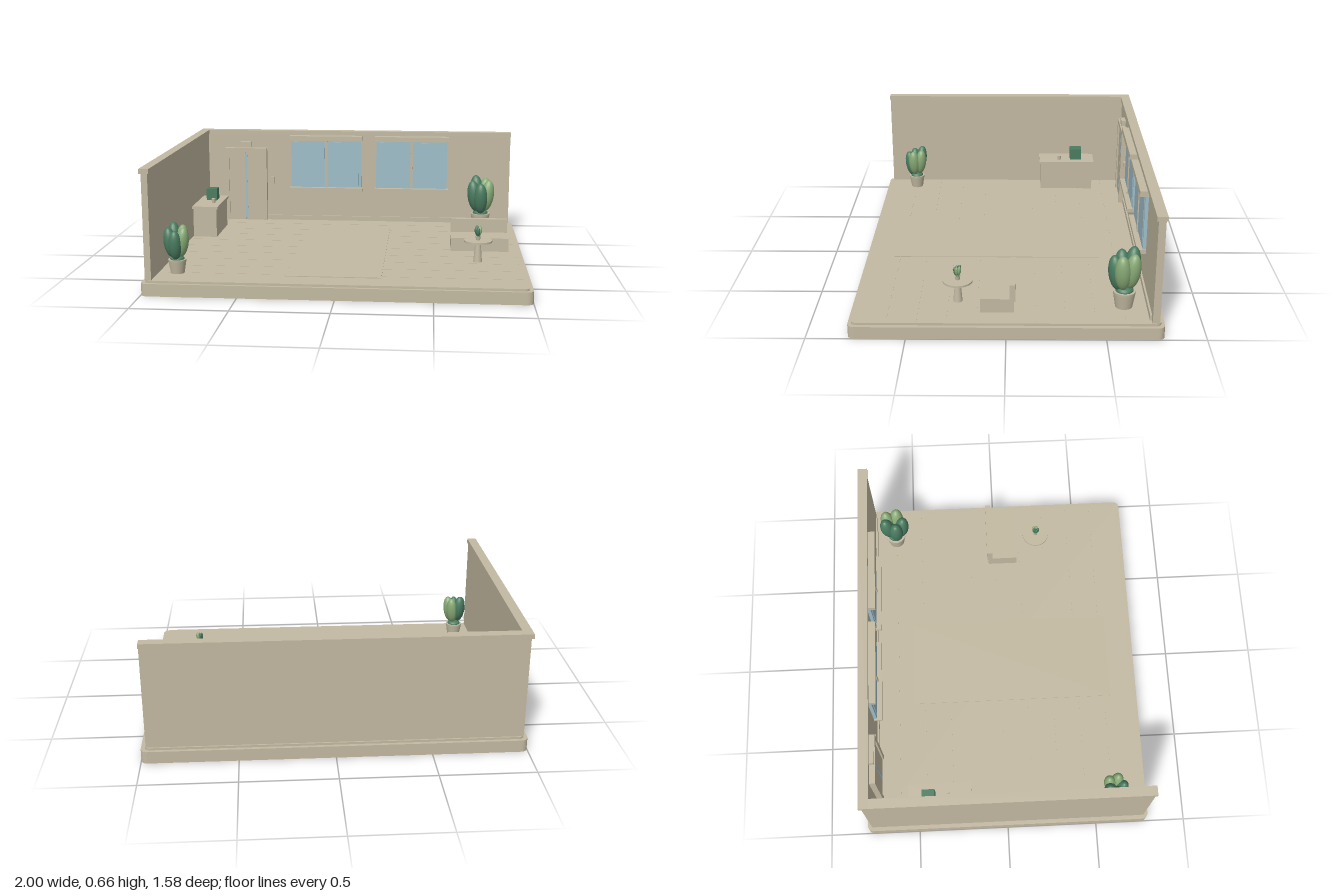
import * as THREE from 'three';

const material = (name, color) => {
  const m = new THREE.MeshStandardMaterial({ color });
  m.name = name;
  return m;
};

export function createModel() {
  const root = new THREE.Group();
  root.name = 'room';
  const beige = material('warm beige', 0xc2b9a1);
  const glass = material('window blue', 0x9ebdc8);
  const darkGreen = material('deep green', 0x4a7c60);
  const lightGreen = material('leaf green', 0x88aa76);

  const add = (name, geometry, mat, x = 0, y = 0, z = 0, parent = root) => {
    const mesh = new THREE.Mesh(geometry, mat);
    mesh.name = name;
    mesh.position.set(x, y, z);
    parent.add(mesh);
    return mesh;
  };
  // Box given by its minimum and maximum on each axis
  const box = (name, x0, x1, y0, y1, z0, z1, mat = beige) =>
    add(name, new THREE.BoxGeometry(x1 - x0, y1 - y0, z1 - z0), mat,
      (x0 + x1) / 2, (y0 + y1) / 2, (z0 + z1) / 2);
  const cylinder = (name, rTop, rBottom, y0, y1, x, z, parent = root) =>
    add(name, new THREE.CylinderGeometry(rTop, rBottom, y1 - y0, 32), beige, x, (y0 + y1) / 2, z, parent);
  // Horizontal slab with rounded corners
  const slab = (name, hx, hz, r, y0, y1) => {
    const s = new THREE.Shape();
    s.moveTo(-hx + r, -hz);
    s.lineTo(hx - r, -hz);
    s.absarc(hx - r, -hz + r, r, -Math.PI / 2, 0);
    s.absarc(hx - r, hz - r, r, 0, Math.PI / 2);
    s.absarc(-hx + r, hz - r, r, Math.PI / 2, Math.PI);
    s.absarc(-hx + r, -hz + r, r, Math.PI, Math.PI * 1.5);
    const g = new THREE.ExtrudeGeometry(s, { depth: y1 - y0, bevelEnabled: false, curveSegments: 6 });
    add(name, g.rotateX(-Math.PI / 2), beige, 0, y0, 0);
  };

  // Plinth, floor, plank seams and walkway
  const F = 0.078;
  slab('base', 1, 0.79, 0.035, 0, 0.066);
  slab('floor', 0.978, 0.772, 0.025, 0.066, F);
  for (let z = -0.6; z < 0.75; z += 0.15) {
    box('plankSeam', -0.94, 0.96, F - 0.002, F + 0.001, z - 0.002, z + 0.002);
  }
  box('walkway', -0.27, 0.23, F - 0.002, F + 0.004, -0.515, 0.635);

  // Two walls with overhanging caps and a skirting board
  box('backWall', -0.978, 0.973, 0.07, 0.632, -0.764, -0.727);
  box('leftWall', -0.978, -0.945, 0.07, 0.632, -0.727, 0.764);
  box('backWallCap', -0.99, 0.975, 0.632, 0.657, -0.772, -0.718);
  box('leftWallCap', -0.99, -0.938, 0.632, 0.657, -0.718, 0.766);
  box('skirtingLeft', -0.945, -0.835, F, 0.107, -0.727, -0.717);
  box('skirtingRight', -0.57, 0.94, F, 0.107, -0.727, -0.717);

  // Sliding door: frame, two leaves, glass strip, sensor and switch
  for (const x of [-0.835, -0.592]) box('doorJamb', x, x + 0.024, F, 0.545, -0.727, -0.695);
  box('doorLintel', -0.835, -0.568, 0.517, 0.545, -0.727, -0.695);
  for (const x of [-0.811, -0.697]) box('doorLeaf', x, x + 0.105, F, 0.517, -0.727, -0.704);
  box('doorGlass', -0.709, -0.694, 0.09, 0.508, -0.712, -0.703, glass);
  box('doorSensor', -0.735, -0.668, 0.552, 0.585, -0.727, -0.7);
  box('wallSwitch', -0.546, -0.52, 0.316, 0.36, -0.727, -0.708);

  // Two windows
  for (const x of [-0.187, 0.356]) {
    box('windowPane', x - 0.224, x + 0.224, 0.297, 0.6, -0.727, -0.709, glass);
    for (const s of [-1, 1]) {
      const c = x + s * 0.107;
      box('windowSash', c - 0.098, c + 0.098, 0.31, 0.588, -0.71, -0.706, glass);
    }
    box('windowMullion', x - 0.008, x + 0.008, 0.297, 0.6, -0.727, -0.7);
    box('windowHeader', x - 0.232, x + 0.232, 0.598, 0.628, -0.727, -0.68);
    box('windowSill', x - 0.232, x + 0.232, 0.275, 0.297, -0.727, -0.68);
  }

  // Reception desk with a box and a cup
  box('deskBody', -0.94, -0.8, F, 0.25, -0.535, -0.207);
  box('deskTop', -0.945, -0.79, 0.25, 0.264, -0.545, -0.197);
  box('deskBox', -0.897, -0.833, 0.264, 0.334, -0.466, -0.395, darkGreen);
  cylinder('cup', 0.012, 0.01, 0.264, 0.29, -0.84, -0.325);

  // Bench
  box('benchSeat', 0.595, 0.915, 0.105, 0.18, -0.04, 0.13);
  box('benchBack', 0.595, 0.915, 0.165, 0.257, -0.048, -0.017);

  // Round table
  cylinder('tablePedestal', 0.014, 0.024, F, 0.19, 0.74, 0.25);
  cylinder('tableTop', 0.077, 0.077, 0.19, 0.2, 0.74, 0.25);

  // Potted plants: five upright leaf clusters around the stem
  // Each cluster: angle in degrees, height of centre, light or dark
  const clusters = [
    [20, 0.168, true], [92, 0.155, false], [164, 0.165, false],
    [236, 0.185, false], [308, 0.172, true],
  ];
  const plant = (x, y, z, s) => {
    const g = new THREE.Group();
    g.name = 'pottedPlant';
    g.position.set(x, y, z);
    g.scale.setScalar(s);
    root.add(g);
    cylinder('pot', 0.047, 0.036, 0, 0.066, 0, 0, g);
    cylinder('potRim', 0.048, 0.047, 0.064, 0.074, 0, 0, g);
    const low = add('lowLeaves', new THREE.SphereGeometry(0.038, 20, 12), darkGreen, 0, 0.076, 0, g);
    low.scale.y = 0.5;
    for (const [deg, h, light] of clusters) {
      const a = deg * Math.PI / 180;
      const leaf = add('leafCluster', new THREE.SphereGeometry(0.034, 20, 14),
        light ? lightGreen : darkGreen, 0.034 * Math.cos(a), h, 0.036 * Math.sin(a), g);
      leaf.scale.y = 2.35;
      leaf.rotation.set(0.14 * Math.sin(a), 0, -0.14 * Math.cos(a));
    }
  };
  plant(-0.845, F, 0.6, 1);
  plant(0.79, F, -0.6, 1.22);
  plant(0.74, 0.2, 0.25, 0.3);

  return root;
}
